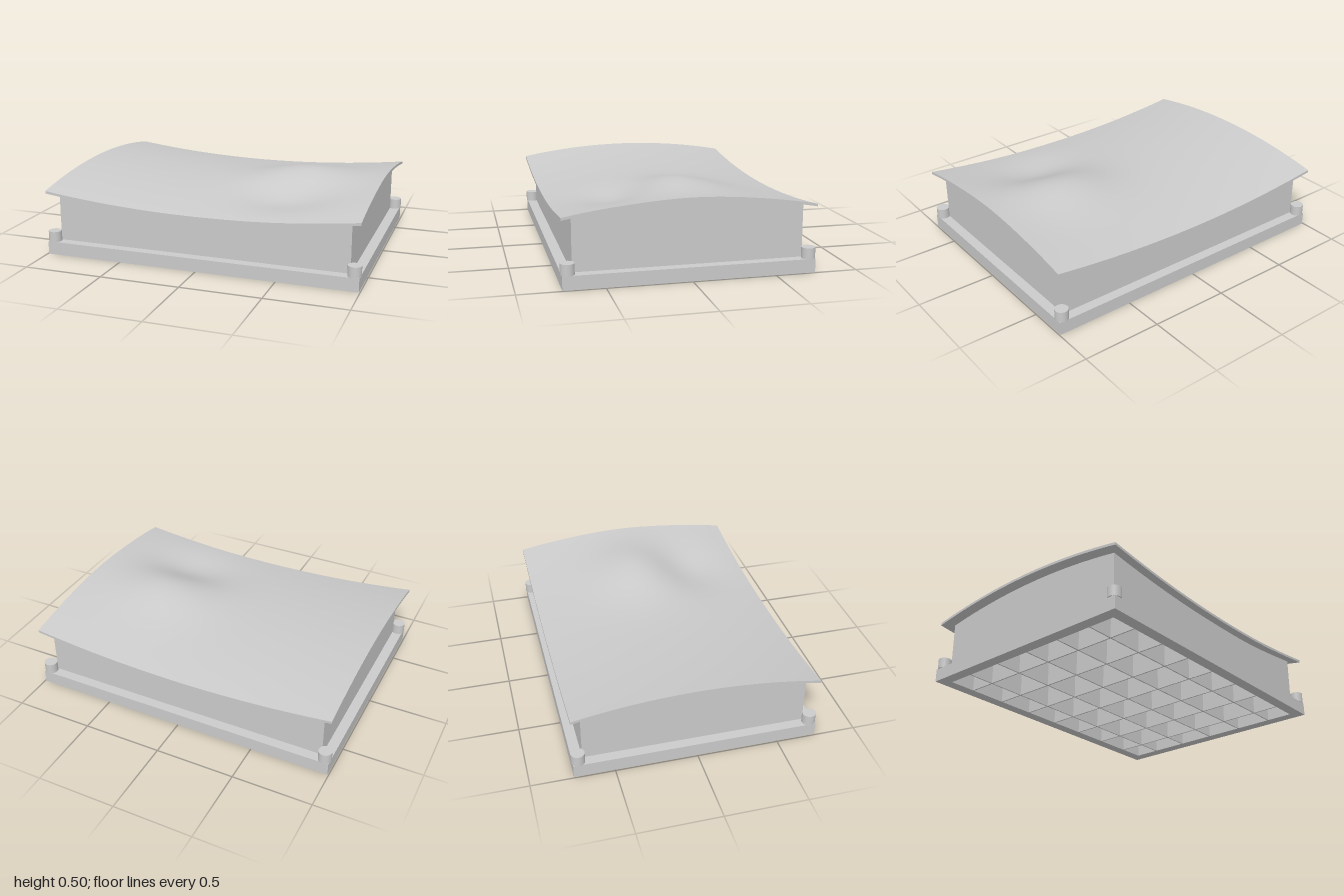
import * as THREE from 'three';

// Half sizes of the base, the inner opening, and the thin parts
const BASE_X = 0.993, BASE_Z = 0.744, BASE_H = 0.083;
const IN_X = 0.92, IN_Z = 0.671, WALL = 0.01, RIB = 0.008, SHEET = 0.016;
const PITCH = 0.248; // rib spacing, counted outwards from the centre

// Saddle surface with one raised bump and one shallow hollow in front of it
function surfaceHeight(x, z) {
  const dx = x - 0.46;
  const bump = 0.075 * Math.exp(-dx * dx / 0.105 - (z + 0.02) ** 2 / 0.09);
  const hollow = 0.054 * Math.exp(-dx * dx / 0.08 - (z - 0.34) ** 2 / 0.05);
  return 0.417 + 0.067 * x * x - 0.127 * z * z + bump - hollow;
}

// Box whose top and bottom follow the given height rules
function fittedBox(w, d, segX, segZ, cx, cz, bottomY, topY) {
  const geo = new THREE.BoxGeometry(w, 1, d, segX, 1, segZ);
  const p = geo.attributes.position;
  for (let i = 0; i < p.count; i++) {
    const x = p.getX(i) + cx, z = p.getZ(i) + cz;
    p.setXYZ(i, x, p.getY(i) > 0 ? topY(x, z) : bottomY(x, z), z);
  }
  geo.computeVertexNormals();
  return geo;
}

export function createModel() {
  const model = new THREE.Group();
  model.name = 'formingMould';
  const grey = new THREE.MeshStandardMaterial({ color: 0xcacaca });
  grey.name = 'plain grey';

  const add = (geo, name, parent = model) => {
    const mesh = new THREE.Mesh(geo, grey);
    mesh.name = name;
    parent.add(mesh);
    return mesh;
  };
  const addGroup = (name) => {
    const g = new THREE.Group();
    g.name = name;
    model.add(g);
    return g;
  };

  // Base frame: rectangle with an open middle
  const rect = (shape, x, z) => shape.moveTo(-x, -z).lineTo(x, -z).lineTo(x, z).lineTo(-x, z).closePath();
  const frame = rect(new THREE.Shape(), BASE_X, BASE_Z);
  frame.holes.push(rect(new THREE.Path(), IN_X, IN_Z));
  const frameGeo = new THREE.ExtrudeGeometry(frame, { depth: BASE_H, bevelEnabled: false });
  frameGeo.rotateX(-Math.PI / 2);
  add(frameGeo, 'baseFrame');

  // Curved top sheet
  const under = (x, z) => surfaceHeight(x, z) - SHEET;
  add(fittedBox(BASE_X * 2, BASE_Z * 2, 80, 64, 0, 0, under, surfaceHeight), 'curvedSheet');

  // Upright walls stand on the frame and meet the sheet
  const walls = addGroup('outerWalls');
  const onFrame = () => BASE_H;
  for (const s of [-1, 1]) {
    add(fittedBox(2 * (IN_X + WALL), WALL, 48, 1, 0, s * (IN_Z + WALL / 2), onFrame, under),
      s > 0 ? 'frontWall' : 'backWall', walls);
    add(fittedBox(WALL, 2 * IN_Z, 1, 40, s * (IN_X + WALL / 2), 0, onFrame, under),
      s > 0 ? 'leftWall' : 'rightWall', walls);
  }

  // Egg-crate ribs on an even pitch, leaving narrower cells round the edge
  const ribs = addGroup('ribs');
  const floor = () => 0;
  for (let i = -3; i <= 3; i++) {
    add(fittedBox(RIB, 2 * IN_Z, 1, 40, i * PITCH, 0, floor, under), 'crossRib', ribs);
  }
  for (let j = -2; j <= 2; j++) {
    add(fittedBox(2 * IN_X, RIB, 48, 1, 0, j * PITCH, floor, under), 'longRib', ribs);
  }

  // Locating pins at the corners
  const pins = addGroup('cornerPins');
  const pinGeo = new THREE.CylinderGeometry(0.041, 0.041, 0.066, 32);
  for (const sx of [-1, 1]) for (const sz of [-1, 1]) {
    add(pinGeo, 'cornerPin', pins).position.set(sx * 0.959, BASE_H + 0.033, sz * 0.71);
  }
  return model;
}
